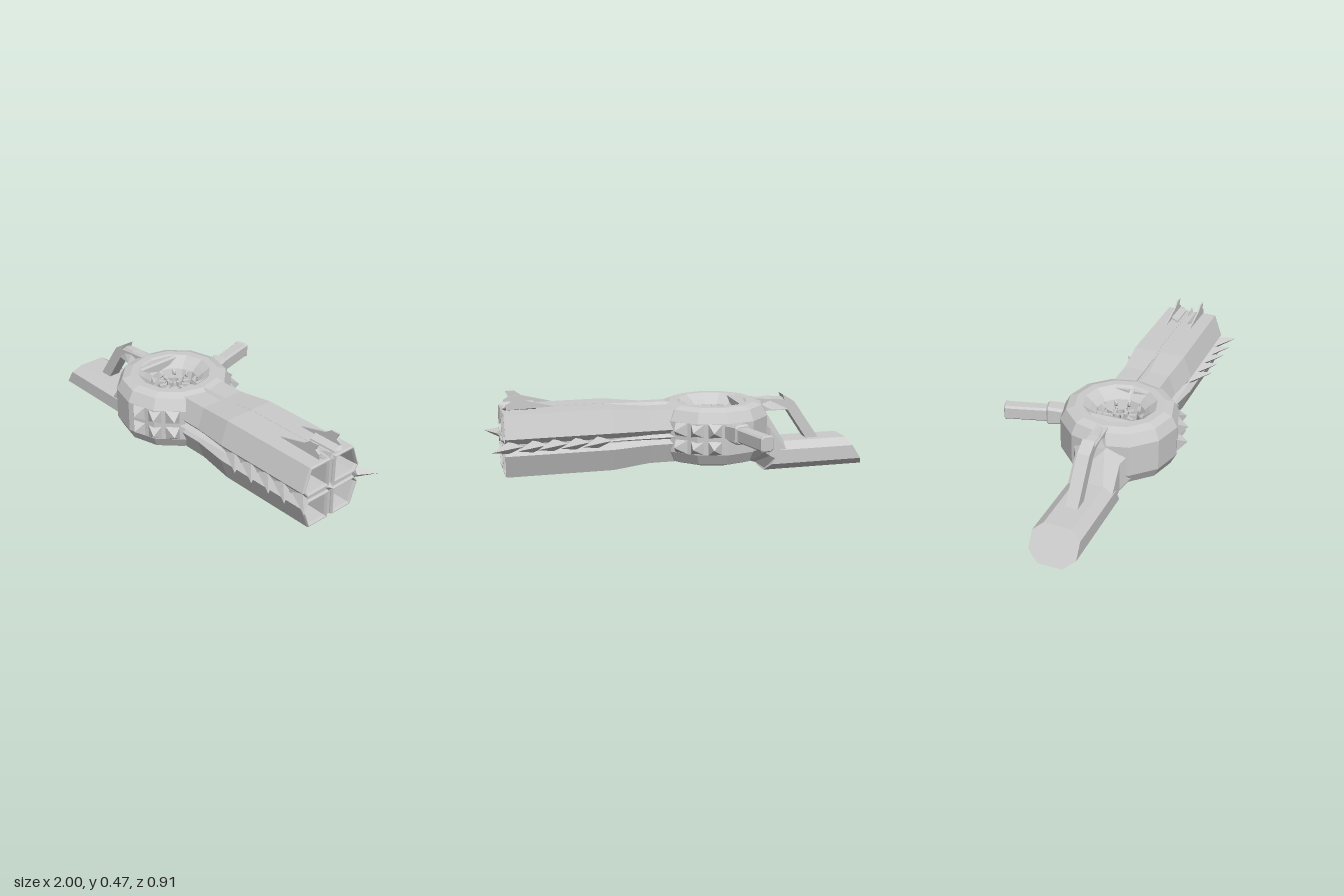
import * as THREE from 'three';

const CX = -0.165, CY = 0.238, CZ = 0.13; // hub centre; the weapon's axis runs along x through CY, CZ
const V = (x, y, z) => new THREE.Vector3(x, y, z);
const mat = new THREE.MeshStandardMaterial({ color: 0xcccccc, flatShading: true });
const matDouble = new THREE.MeshStandardMaterial({ color: 0xcccccc, flatShading: true, side: THREE.DoubleSide });

function mesh(parent, name, geometry, material = mat) {
  const m = new THREE.Mesh(geometry, material);
  m.name = name;
  parent.add(m);
  return m;
}

// Closed solid through equal-sized point rings; an optional tip closes the end in a point.
function loft(rings, tip) {
  const mid = r => r.reduce((s, p) => s.add(p), V(0, 0, 0)).divideScalar(r.length);
  const tris = [], n = rings[0].length, last = rings[rings.length - 1];
  const c0 = mid(rings[0]), c1 = tip || mid(last);
  for (let j = 0; j < n; j++) {
    const k = (j + 1) % n;
    tris.push([c0, rings[0][k], rings[0][j]], [c1, last[j], last[k]]);
    for (let i = 0; i < rings.length - 1; i++) {
      const a = rings[i], b = rings[i + 1];
      tris.push([a[j], a[k], b[k]], [a[j], b[k], b[j]]);
    }
  }
  // turn all faces outward
  const volume = tris.reduce((s, [a, b, c]) => s + a.dot(b.clone().cross(c)), 0);
  if (volume < 0) tris.forEach(t => t.reverse());
  const g = new THREE.BufferGeometry().setFromPoints(tris.flat());
  g.computeVertexNormals();
  return g;
}

function extrude(points, z, depth) {
  const shape = new THREE.Shape(points.map(p => new THREE.Vector2(...p)));
  const g = new THREE.ExtrudeGeometry(shape, { depth, bevelEnabled: false });
  return g.translate(0, 0, z - depth / 2);
}

// Eight-cornered section across x
function octagon(x, y0, y1, w, top = 0.6, bottom = 0.5) {
  const h = y1 - y0;
  return [[-bottom, 0], [bottom, 0], [1, 0.28], [1, 0.76], [top, 1], [-top, 1], [-1, 0.76], [-1, 0.28]]
    .map(([a, b]) => V(x, y0 + b * h, CZ + a * w));
}

function addHub(root) {
  const hub = new THREE.Group();
  hub.name = 'hub';
  root.add(hub);
  const half = [[0.105, 0.045], [0.122, 0.1], [0.15, 0.125], [0.185, 0.15], [0.225, 0.15], [0.268, 0.135], [0.297, 0.08]];
  const profile = [...half.map(([r, y]) => [r, -y]), ...half.slice().reverse(), half[0].map((v, i) => i ? -v : v)];
  const ring = new THREE.LatheGeometry(profile.map(p => new THREE.Vector2(...p)), 12);
  mesh(hub, 'hubRing', ring, matDouble).position.set(CX, CY, CZ);

  // studded side plates, two rows on both flanks
  for (const side of [1, -1]) for (const row of [1, -1]) for (const deg of [13, 31, 49]) {
    const at = (d, r, y) => {
      const a = d * Math.PI / 180;
      return V(CX + Math.sin(a) * r, CY + row * y, CZ + side * Math.cos(a) * r);
    };
    const base = [at(deg - 11, 0.275, 0), at(deg + 8, 0.275, 0), at(deg + 8, 0.275, 0.09), at(deg - 11, 0.275, 0.09)];
    mesh(hub, 'hubSpike', loft([base], at(deg + 1, 0.338, 0.043)));
  }

  // toothed core, free in the middle of the hole
  const core = new THREE.Group();
  core.name = 'core';
  core.position.set(CX, CY, CZ);
  hub.add(core);
  mesh(core, 'coreDrum', new THREE.CylinderGeometry(0.05, 0.05, 0.15, 10));
  for (let i = 0; i < 10; i++) {
    const arm = new THREE.Group();
    arm.name = 'coreTooth';
    arm.rotation.y = i * Math.PI / 5;
    core.add(arm);
    for (const s of [1, -1]) {
      mesh(arm, 'coreBlade', new THREE.BoxGeometry(0.035, 0.05, 0.016)).position.set(0.063, s * 0.06, 0);
      mesh(arm, 'coreStud', new THREE.BoxGeometry(0.018, 0.03, 0.014)).position.set(0.03, s * 0.085, 0);
      const tooth = [V(0.125, s * 0.05, -0.02), V(0.125, s * 0.05, 0.02), V(0.142, s * 0.11, 0.012), V(0.142, s * 0.11, -0.012)];
      mesh(arm, 'rimTooth', loft([tooth], V(0.092, s * 0.085, 0.008)));
    }
  }
}

function addBarrels(root) {
  const barrels = new THREE.Group();
  barrels.name = 'barrels';
  root.add(barrels);
  // one quarter of the bundle's outline, as offsets from the axis
  const quarter = [[0.012, 0.014], [0.155, 0.012], [0.18, 0.042], [0.138, 0.158], [0.014, 0.158]];
  const centre = [0.095, 0.08];
  for (const sy of [1, -1]) for (const sz of [1, -1]) {
    const ring = (x, scale, inset) => quarter.map(([z, y]) => V(x,
      CY + sy * scale * (centre[1] + (y - centre[1]) * inset),
      CZ + sz * scale * (centre[0] + (z - centre[0]) * inset)));
    mesh(barrels, 'barrel', loft([ring(-0.02, 0.88, 1), ring(0.2, 0.88, 1), ring(0.39, 1, 1), ring(0.92, 1, 1),
      ring(0.93, 1, 0.96), ring(0.93, 1, 0.9), ring(0.915, 1, 0.86), ring(0.3, 0.9, 0.86)]));
  }
  // webs that join the four barrels
  const web = (name, hy, hz) => mesh(barrels, name, loft([[0, 0.88], [0.2, 0.88], [0.39, 1], [0.915, 1]].map(([x, s]) =>
    [[-1, -1], [1, -1], [1, 1], [-1, 1]].map(([a, b]) => V(x, CY + a * hy * s, CZ + b * hz * s)))));
  web('uprightWeb', 0.157, 0.016);
  web('levelWeb', 0.016, 0.155);
  mesh(barrels, 'muzzlePin', new THREE.OctahedronGeometry(0.024)).position.set(0.915, CY, CZ);

  // swept spikes along both flanks
  const tips = [0.56, 0.67, 0.78, 0.88, 1];
  for (const side of [1, -1]) {
    for (const x of tips) {
      const p = (dx, dy, z) => V(x + dx, CY + dy, CZ + side * z);
      mesh(barrels, 'flankSpike', loft([[p(-0.16, 0, 0.16), p(-0.09, 0.032, 0.165), p(-0.055, 0, 0.16), p(-0.09, -0.032, 0.165)]],
        p(0, 0, 0.248)));
    }
    const q = (x, dy, z) => V(x, CY + dy, CZ + side * z);
    mesh(barrels, 'flankRidge', loft([[q(0.05, 0.02, 0.13), q(0.05, 0, 0.166), q(0.05, -0.02, 0.13)],
      [q(0.25, 0.016, 0.13), q(0.25, 0, 0.166), q(0.25, -0.016, 0.13)]], q(0.44, 0, 0.168)));
  }
  // slim ridges above and below
  for (const s of [1, -1]) {
    const r = (x, y, w) => [V(x, CY + s * 0.12, CZ - w), V(x, CY + s * y, CZ), V(x, CY + s * 0.12, CZ + w)];
    mesh(barrels, 'barrelRidge', loft([r(0.03, 0.15, 0.03), r(0.2, 0.155, 0.028)], V(0.41, CY + s * 0.159, CZ)));
  }
}

function addSight(root) {
  const sight = new THREE.Group();
  sight.name = 'sight';
  root.add(sight);
  const blade = [[0.67, 0.412], [0.91, 0.405], [0.91, 0.43], [0.885, 0.445], [0.9, 0.475], [0.855, 0.475], [0.82, 0.45]];
  for (const s of [1, -1]) {
    const g = extrude(blade, CZ + s * 0.068, 0.008);
    mesh(sight, 'sightBlade', g);
    // thin foot that slopes in toward the middle
    const foot = x => [V(x, 0.394, CZ + s * 0.028), V(x, 0.404, CZ + s * 0.03), V(x, 0.424, CZ + s * 0.072), V(x, 0.414, CZ + s * 0.07)];
    mesh(sight, 'sightFoot', loft([foot(0.76), foot(0.91)], V(0.93, 0.41, CZ + s * 0.055)));
  }
  mesh(sight, 'sightPin', loft([[V(0.83, 0.39, CZ), V(0.92, 0.39, CZ + 0.012), V(0.935, 0.39, CZ), V(0.92, 0.39, CZ - 0.012)]],
    V(0.925, 0.418, CZ)));
}

function addStock(root) {
  const stock = new THREE.Group();
  stock.name = 'stock';
  root.add(stock);
  // slanted grip
  const slant = (x0, x1) => octagon(0, 0, 0.155, 0.118, 0.6, 0.5).map(p => p.setX(x0 + (x1 - x0) * p.y / 0.155));
  mesh(stock, 'grip', loft([slant(-1, -0.9), slant(-0.44, -0.53)]));
  // neck that swells into the hub
  mesh(stock, 'neck', loft([octagon(-0.55, 0, 0.15, 0.115), octagon(-0.455, 0.004, 0.31, 0.115, 0.32),
    octagon(-0.38, 0.055, 0.375, 0.165, 0.45), octagon(-0.3, 0.09, 0.385, 0.25, 0.6, 0.6), octagon(-0.28, 0.1, 0.38, 0.25)]
    .map((r, i) => i < 4 ? r : r.map(p => p.setX(-0.285)))));
  // bent strut from grip to hub
  mesh(stock, 'strut', extrude([[-0.76, 0.15], [-0.69, 0.15], [-0.58, 0.315], [-0.44, 0.315], [-0.38, 0.36], [-0.39, 0.386],
    [-0.56, 0.372], [-0.55, 0.4], [-0.615, 0.36]], CZ, 0.062));
  const spine = (x, y, w) => [V(x, y - 0.06, CZ - w), V(x, y, CZ - w * 0.4), V(x, y, CZ + w * 0.4), V(x, y - 0.06, CZ + w)];
  mesh(stock, 'strutSpine', loft([spine(-0.58, 0.378, 0.032), spine(-0.48, 0.386, 0.055)], V(-0.36, 0.385, CZ)));
}

function addLever(root) {
  const lever = new THREE.Group();
  lever.name = 'sideLever';
  lever.position.set(-0.19, 0.278, -0.13);
  lever.rotation.y = 0.265;
  root.add(lever);
  // chamfered bar running out along -z
  const bar = (z, w, h) => [[-0.7, -1], [0.7, -1], [1, -0.75], [1, 0.75], [0.7, 1], [-0.7, 1], [-1, 0.75], [-1, -0.75]]
    .map(([a, b]) => V(a * w, b * h, z));
  mesh(lever, 'leverSocket', loft([bar(0.03, 0.05, 0.03), bar(-0.05, 0.045, 0.045), bar(-0.105, 0.043, 0.05), bar(-0.115, 0.036, 0.042)]));
  mesh(lever, 'leverArm', loft([bar(-0.1, 0.033, 0.037), bar(-0.31, 0.035, 0.037), bar(-0.325, 0.036, 0.04),
    bar(-0.325, 0.036, 0.04), bar(-0.33, 0.03, 0.034)]));
}

export function createModel() {
  const root = new THREE.Group();
  root.name = 'launcher';
  addHub(root);
  addBarrels(root);
  addSight(root);
  addStock(root);
  addLever(root);
  return root;
}
